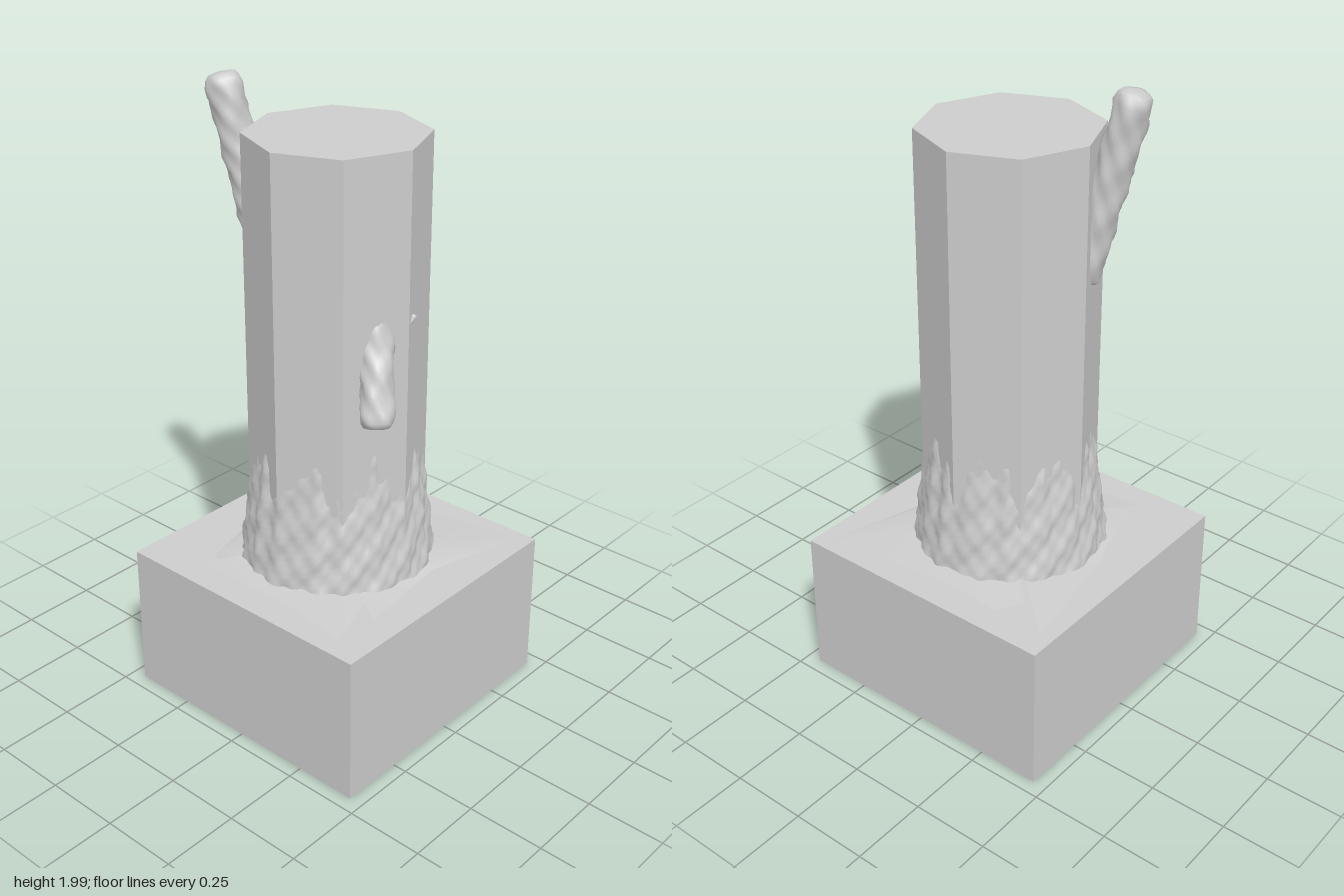
import * as THREE from 'three';
import { mergeVertices } from 'three/addons/utils/BufferGeometryUtils.js';

const BASE_TOP = 0.487;
const PILLAR_TOP = 1.855;

const stone = new THREE.MeshStandardMaterial({ color: 0xcccccc });
stone.name = 'plain grey';

function addMesh(parent, name, geometry) {
  const mesh = new THREE.Mesh(geometry, stone);
  mesh.name = name;
  parent.add(mesh);
  return mesh;
}

// Moves every vertex to radiusAt(angle, y, oldRadius) and welds the seam for smooth normals
function reshape(geometry, radiusAt) {
  const p = geometry.attributes.position;
  for (let i = 0; i < p.count; i++) {
    const x = p.getX(i), y = p.getY(i), z = p.getZ(i);
    const angle = Math.atan2(z, x);
    const r = radiusAt(angle, y, Math.hypot(x, z));
    p.setXYZ(i, r * Math.cos(angle), y, r * Math.sin(angle));
  }
  geometry.deleteAttribute('uv');
  geometry.deleteAttribute('normal');
  const welded = mergeVertices(geometry, 1e-5);
  welded.computeVertexNormals();
  return welded;
}

// Flaring bark whose jagged upper rim sinks into the pillar
function barkGeometry() {
  const height = 0.47;
  const g = new THREE.CylinderGeometry(0.3, 0.3, height, 144, 26, true);
  g.translate(0, BASE_TOP - 0.004 + height / 2, 0);
  return reshape(g, (a, y) => {
    const t = (y - BASE_TOP) / 0.433;
    const ridges = 0.005 * Math.sin(17 * a + 1.3) + 0.004 * Math.sin(29 * a + 3 * Math.sin(2 * a));
    const lumps = 0.0035 * Math.sin(11 * a + 45 * y) + 0.003 * Math.sin(23 * a - 70 * y)
      + 0.002 * Math.sin(37 * a + 95 * y);
    return 0.307 - 0.06 * t + ridges * (0.35 + 0.65 * t) + lumps * (1 - 0.4 * t);
  });
}

// Lumpy round limb running from a buried root to a blunt tip
function addLimb(parent, name, from, to, radius) {
  const root = new THREE.Vector3(...from);
  const axis = new THREE.Vector3(...to).sub(root);
  const length = axis.length();
  const profile = [[0, 0], [0.6, 0], [0.92, 0.2 * radius]];
  const steps = 24;
  for (let i = 0; i <= steps; i++) {
    profile.push([1, 0.4 * radius + (length - 1.1 * radius) * i / steps]);
  }
  profile.push([0.93, length - 0.35 * radius], [0.75, length - 0.1 * radius], [0.4, length - 0.02 * radius], [0, length]);
  const points = profile.map(([r, y]) => new THREE.Vector2(r * radius, y));
  const geometry = reshape(new THREE.LatheGeometry(points, 24), (a, y, r) =>
    r * (1 + 0.06 * Math.sin(3 * a + 38 * y) + 0.05 * Math.sin(5 * a - 61 * y) + 0.03 * Math.sin(8 * a + 110 * y)));
  const limb = addMesh(parent, name, geometry);
  limb.position.copy(root);
  limb.quaternion.setFromUnitVectors(new THREE.Vector3(0, 1, 0), axis.normalize());
  return limb;
}

// Thin pointed roots spreading over the plinth, as a ring from the bark foot outwards
function rootSpreadGeometry() {
  const outline = [
    [0.41, -0.42], [0.32, -0.1], [0.335, 0.05], [0.36, 0.24], [0.28, 0.19], [0.35, 0.39],
    [0.1, 0.35], [-0.25, 0.365], [-0.18, 0.31], [-0.25, 0.31], [-0.3, 0.12], [-0.33, 0.04],
    [-0.41, -0.37], [-0.3, -0.285], [-0.265, -0.29], [-0.24, -0.365], [0, -0.35]
  ];
  const positions = [], index = [];
  const n = outline.length;
  outline.forEach(([x, z], i) => {
    const s = 0.29 / Math.hypot(x, z);
    positions.push(x * s, BASE_TOP + 0.016, z * s, x, BASE_TOP + 0.001, z);
    const a = 2 * i, b = 2 * ((i + 1) % n);
    index.push(a, b, a + 1, b, b + 1, a + 1);
  });
  const g = new THREE.BufferGeometry();
  g.setAttribute('position', new THREE.Float32BufferAttribute(positions, 3));
  g.setIndex(index);
  g.computeVertexNormals();
  return g;
}

export function createModel() {
  const model = new THREE.Group();
  model.name = 'trunkOnPlinth';

  // Square plinth
  addMesh(model, 'plinth', new THREE.BoxGeometry(0.908, BASE_TOP, 0.908)).position.y = BASE_TOP / 2;

  // Eight-sided pillar with a corner facing each axis
  const height = PILLAR_TOP - BASE_TOP + 0.02;
  const pillar = new THREE.CylinderGeometry(0.275, 0.275, height, 8).toNonIndexed();
  pillar.computeVertexNormals();
  addMesh(model, 'pillar', pillar).position.y = PILLAR_TOP - height / 2;

  // Bark and roots at the foot
  addMesh(model, 'bark', barkGeometry());
  addMesh(model, 'roots', rootSpreadGeometry());

  // Broken branches and a small twig
  addLimb(model, 'upperBranch', [-0.205, 1.41, 0.07], [-0.338, 1.99, 0.122], 0.053);
  addLimb(model, 'lowerBranch', [0.185, 1.39, 0.045], [0.283, 1.06, 0.145], 0.05);
  addLimb(model, 'twig', [0.255, 1.32, -0.005], [0.272, 1.36, -0.03], 0.008);

  return model;
}
